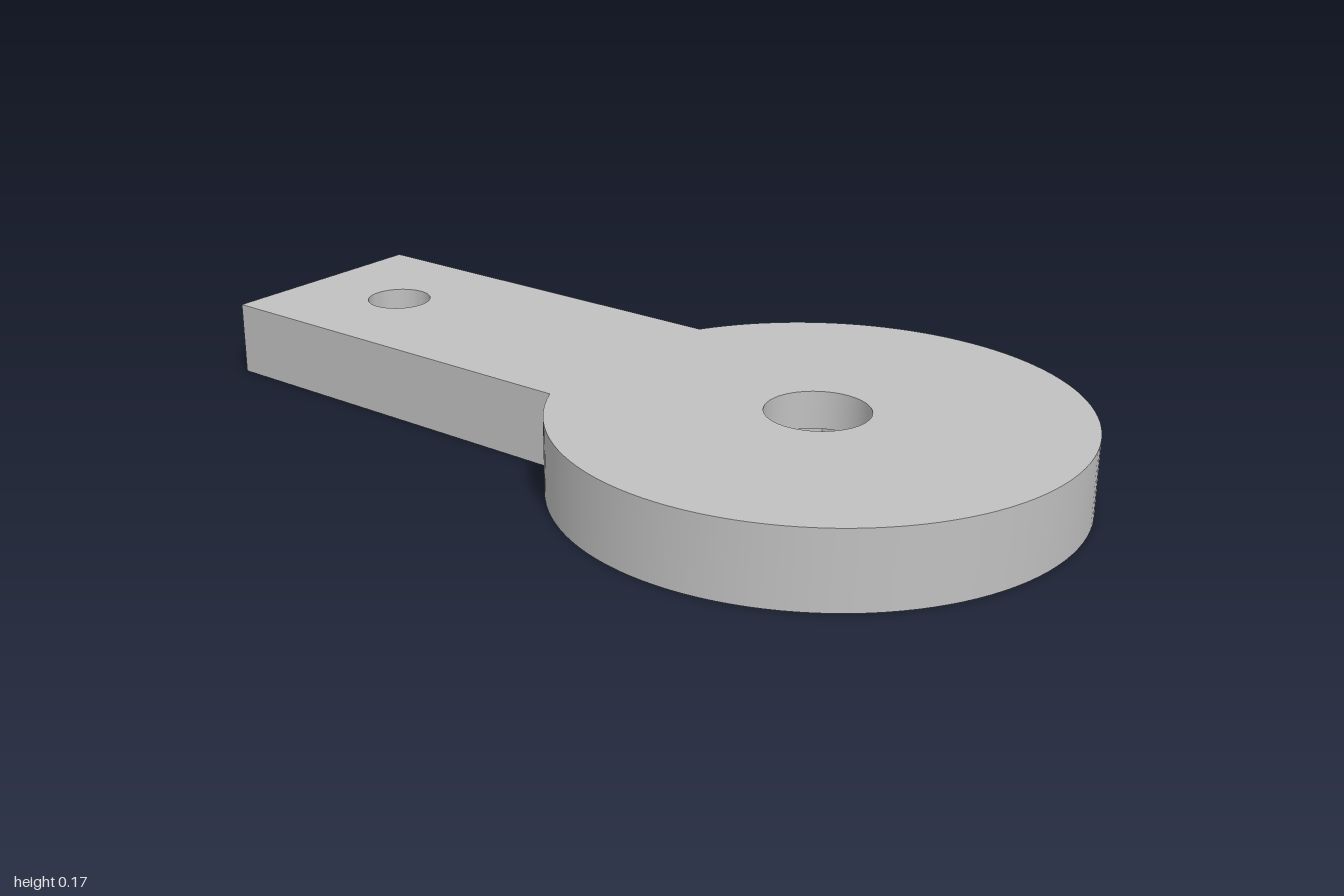
import * as THREE from 'three';
import { toCreasedNormals } from 'three/addons/utils/BufferGeometryUtils.js';

const THICK = 0.166, POCKET = 0.083;
const DISC_X = 0.445, DISC_R = 0.555, ARM_HALF = 0.26, BOLT_X = -0.74;

// Counter-clockwise arc or regular polygon points
function ring(cx, r, n, from = 0, sweep = Math.PI * 2, closed = true) {
  return Array.from({ length: closed ? n : n + 1 }, (_, i) => {
    const a = from + (sweep * i) / n;
    return new THREE.Vector2(cx + r * Math.cos(a), r * Math.sin(a));
  });
}

// Horizontal face with holes, facing up or down
function cap(points, holes, y, up) {
  const shape = new THREE.Shape(points);
  holes.forEach((h) => shape.holes.push(new THREE.Path(h)));
  return new THREE.ShapeGeometry(shape).rotateX(up ? -Math.PI / 2 : Math.PI / 2).translate(0, y, 0);
}

// Vertical wall along a closed outline, facing outward or into a hole
function wall(points, y0, y1, inward) {
  const pts = inward ? [...points].reverse() : points;
  const pos = [];
  pts.forEach((a, i) => {
    const b = pts[(i + 1) % pts.length];
    const a0 = [a.x, y0, -a.y], a1 = [a.x, y1, -a.y];
    const b0 = [b.x, y0, -b.y], b1 = [b.x, y1, -b.y];
    pos.push(...a0, ...b0, ...b1, ...a0, ...b1, ...a1);
  });
  const g = new THREE.BufferGeometry();
  g.setAttribute('position', new THREE.Float32BufferAttribute(pos, 3));
  return toCreasedNormals(g, 0.5);
}

export function createModel() {
  const group = new THREE.Group();
  group.name = 'mountingArm';
  const grey = new THREE.MeshStandardMaterial({ color: 0xc0c0c0 });
  grey.name = 'light grey';
  const add = (name, geometry) => {
    const mesh = new THREE.Mesh(geometry, grey);
    mesh.name = name;
    group.add(mesh);
  };

  // Outline: round disc joined to a straight arm
  const half = Math.PI - Math.asin(ARM_HALF / DISC_R);
  const outline = [
    ...ring(DISC_X, DISC_R, 96, -half, half * 2, false),
    new THREE.Vector2(-1, ARM_HALF),
    new THREE.Vector2(-1, -ARM_HALF),
  ];

  // Through holes and the nut pockets beneath them
  const pivotHole = ring(DISC_X - 0.003, 0.11, 64);
  const boltHole = ring(BOLT_X, 0.073, 48);
  const hexPocket = ring(DISC_X, 0.207, 6);
  const squarePocket = [[-0.96, -0.15], [-0.645, -0.15], [-0.645, 0.15], [-0.96, 0.15]]
    .map(([x, y]) => new THREE.Vector2(x, y));

  add('topFace', cap(outline, [pivotHole, boltHole], THICK, true));
  add('bottomFace', cap(outline, [hexPocket, squarePocket], 0, false));
  add('outerWall', wall(outline, 0, THICK, false));

  for (const [name, pocket, hole] of [
    ['hexPocket', hexPocket, pivotHole],
    ['squarePocket', squarePocket, boltHole],
  ]) {
    add(name + 'Wall', wall(pocket, 0, POCKET, true));
    add(name + 'Ceiling', cap(pocket, [hole], POCKET, false));
    add(name + 'Bore', wall(hole, POCKET, THICK, true));
  }
  return group;
}
